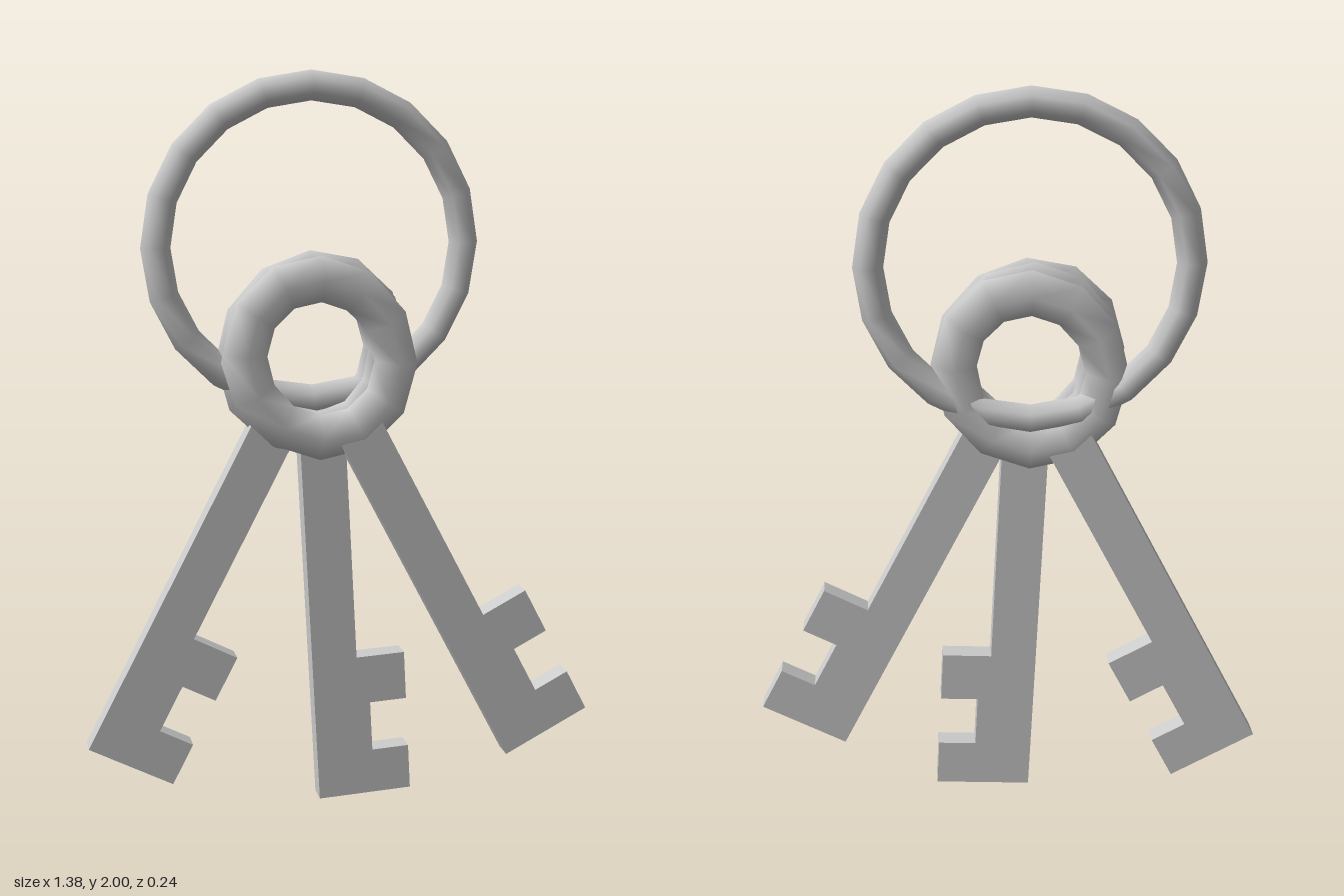
import * as THREE from 'three';

const metal = new THREE.MeshStandardMaterial({ color: 0xcccccc });

// Blade outline with two teeth: left edge at x = 0, bottom at y = 0
const OUTLINE = [
  [0, 0], [0.26, 0], [0.26, 0.125], [0.157, 0.125], [0.157, 0.265],
  [0.26, 0.265], [0.26, 0.4], [0.125, 0.4], [0.125, 1.04], [0, 1.04],
];
const BOW_HEIGHT = 1.25; // height of the bow centre above the blade's tip
const THICKNESS = 0.062;

// One key, with its origin at the centre of the bow so it swings around it
function createKey(name) {
  const key = new THREE.Group();
  key.name = name;

  const shape = new THREE.Shape(OUTLINE.map(([x, y]) => new THREE.Vector2(x, y)));
  const bladeGeometry = new THREE.ExtrudeGeometry(shape, { depth: THICKNESS, bevelEnabled: false });
  bladeGeometry.translate(-0.0625, -BOW_HEIGHT, -THICKNESS / 2);
  const blade = new THREE.Mesh(bladeGeometry, metal);
  blade.name = 'blade';

  // Slightly oval bow with a four-sided section
  const bowGeometry = new THREE.TorusGeometry(0.2, 0.058, 4, 12);
  bowGeometry.scale(1, 1.08, 0.95);
  const bow = new THREE.Mesh(bowGeometry, metal);
  bow.name = 'bow';

  key.add(blade, bow);
  return key;
}

export function createModel() {
  const model = new THREE.Group();
  model.name = 'keyRing';

  // Large carrying ring
  const ring = new THREE.Mesh(new THREE.TorusGeometry(0.42, 0.04, 6, 20), metal);
  ring.name = 'largeRing';
  ring.position.set(-0.06, 1.54, -0.067);
  model.add(ring);

  // Three fanned keys, from back to front
  const keys = [
    ['backKey', -27.5, -0.066],
    ['middleKey', 2.9, 0],
    ['frontKey', 27.5, 0.066],
  ];
  for (const [name, degrees, z] of keys) {
    const key = createKey(name);
    key.position.set(-0.062, 1.252, z);
    key.rotation.z = THREE.MathUtils.degToRad(degrees);
    model.add(key);
  }
  return model;
}
